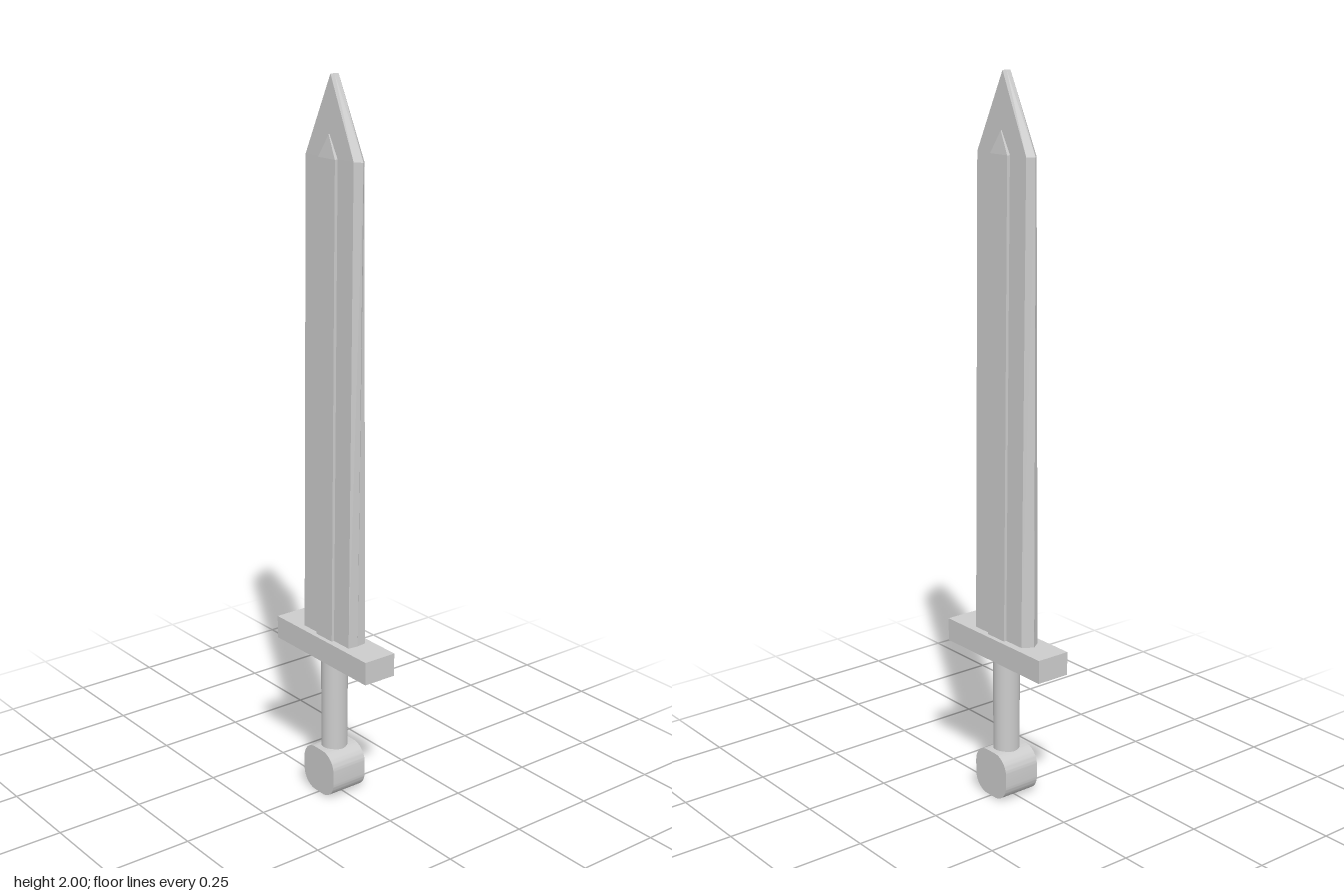
import * as THREE from 'three';
import { toCreasedNormals } from 'three/addons/utils/BufferGeometryUtils.js';

const material = new THREE.MeshStandardMaterial({ color: 0xcccccc });
const flatMaterial = new THREE.MeshStandardMaterial({ color: 0xcccccc, flatShading: true });

function addPart(group, name, geometry, mat = material) {
  const mesh = new THREE.Mesh(geometry, mat);
  mesh.name = name;
  group.add(mesh);
  return mesh;
}

// Joins rings of [x, y, z] points (counter-clockwise seen from above), bottom to top
function loft(rings) {
  const n = rings[0].length;
  const index = [];
  for (let r = 0; r < rings.length - 1; r++) {
    for (let i = 0; i < n; i++) {
      const a = r * n + i, b = r * n + (i + 1) % n;
      index.push(a, b, b + n, a, b + n, a + n);
    }
  }
  const top = (rings.length - 1) * n;
  for (let i = 1; i < n - 1; i++) {
    index.push(0, i + 1, i, top, top + i, top + i + 1);
  }
  const geometry = new THREE.BufferGeometry();
  geometry.setAttribute('position', new THREE.Float32BufferAttribute(rings.flat(2), 3));
  geometry.setIndex(index);
  const flat = geometry.toNonIndexed();
  flat.computeVertexNormals();
  return flat;
}

// Six-sided blade section: flat faces of half width w, cutting edges at left and right
const bladeRing = (y, w, z, left, right) => [
  [left, y, 0], [w, y, -z], [-w, y, -z], [right, y, 0], [-w, y, z], [w, y, z],
];

// Four-sided section of the central ridge
const ridgeRing = (y, w, z) => [[w, y, z], [w, y, -z], [-w, y, -z], [-w, y, z]];

export function createModel() {
  const group = new THREE.Group();

  // Blade, thinning upward and closing to a short ridge at the point
  addPart(group, 'blade', loft([
    bladeRing(0.45, 0.1, 0.029, 0.103, -0.12),
    bladeRing(1.79, 0.1, 0.017, 0.118, -0.117),
    bladeRing(2, 0, 0.013, 0, 0),
  ]), flatMaterial);

  // Raised ridge running through both faces
  addPart(group, 'bladeRidge', loft([
    ridgeRing(0.45, 0.035, 0.037),
    ridgeRing(1.79, 0.035, 0.026),
    ridgeRing(1.85, 0, 0.019),
  ]), flatMaterial);

  // Crossguard
  addPart(group, 'guard', new THREE.BoxGeometry(0.4, 0.066, 0.1)).position.y = 0.438;

  // Grip, a little deeper than wide
  const grip = addPart(group, 'grip', new THREE.CylinderGeometry(0.035, 0.035, 0.3, 32));
  grip.position.y = 0.265;
  grip.scale.z = 1.1;

  // Pommel: rounded square drum lying front to back
  const h = 0.0675, r = 0.05;
  const outline = new THREE.Shape();
  outline.absarc(h - r, h - r, r, 0, Math.PI / 2);
  outline.absarc(r - h, h - r, r, Math.PI / 2, Math.PI);
  outline.absarc(r - h, r - h, r, Math.PI, Math.PI * 1.5);
  outline.absarc(h - r, r - h, r, Math.PI * 1.5, Math.PI * 2);
  const drum = new THREE.ExtrudeGeometry(outline, { depth: 0.112, bevelEnabled: false, curveSegments: 10 });
  drum.translate(0, h, -0.056);
  addPart(group, 'pommel', toCreasedNormals(drum, 0.6));

  return group;
}
